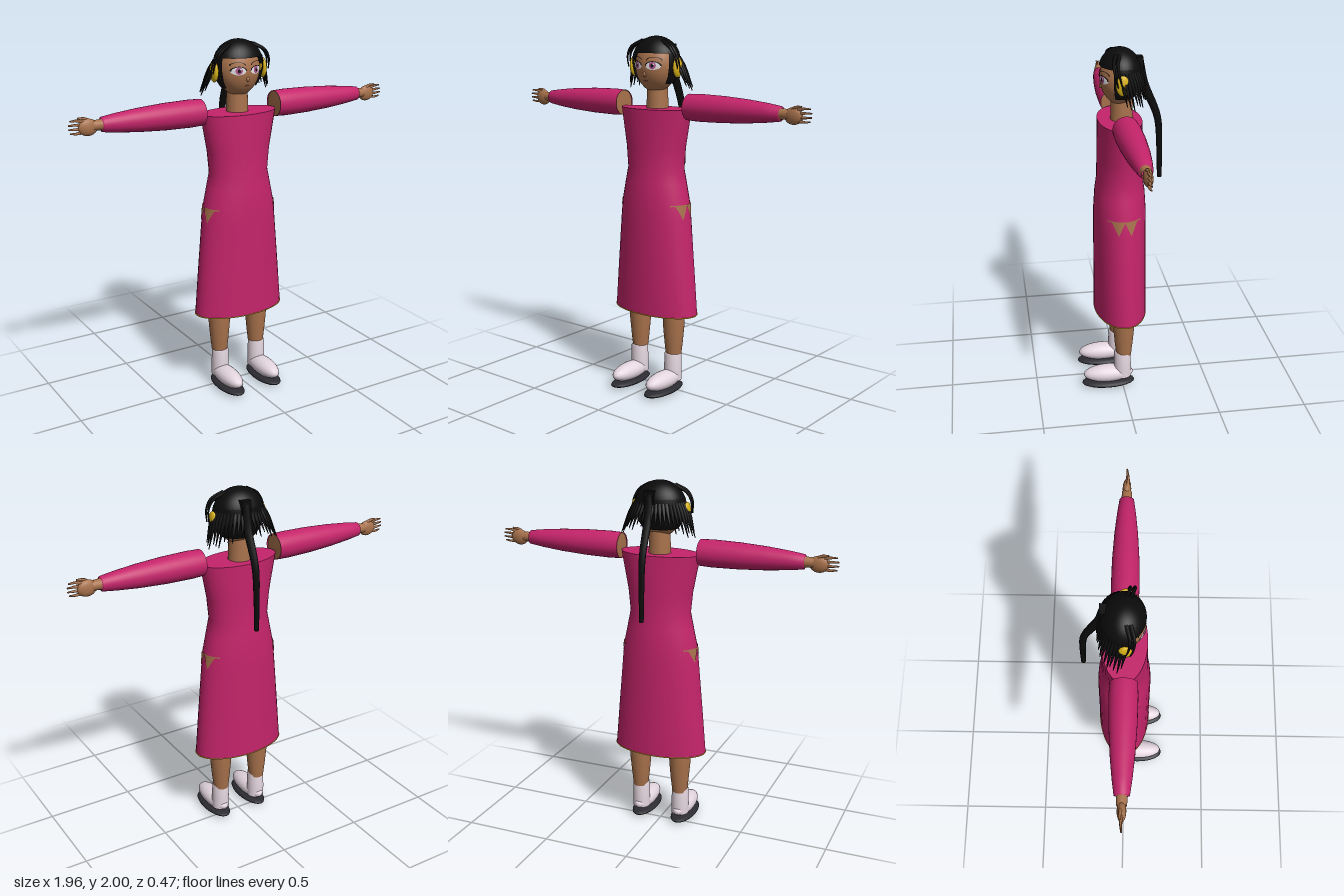
import * as THREE from 'three';
import { mergeVertices } from 'three/addons/utils/BufferGeometryUtils.js';

const material = (name, color, side = THREE.FrontSide) => {
  const m = new THREE.MeshStandardMaterial({ color, side });
  m.name = name;
  return m;
};
const V = (x, y, z) => new THREE.Vector3(x, y, z);

// Dress outline: height, half width, half depth
const DRESS = [
  [0.46, 0.272, 0.148], [0.7, 0.251, 0.147], [1.0, 0.223, 0.146], [1.09, 0.213, 0.145],
  [1.2, 0.189, 0.138], [1.28, 0.173, 0.127], [1.4, 0.186, 0.124], [1.61, 0.228, 0.12],
];
function dressSize(y) {
  let i = 0;
  while (i < DRESS.length - 2 && y > DRESS[i + 1][0]) i++;
  const [a, b] = [DRESS[i], DRESS[i + 1]];
  const t = (y - a[0]) / (b[0] - a[0]);
  return [a[1] + (b[1] - a[1]) * t, a[2] + (b[2] - a[2]) * t];
}

// Face outline: radius at a height, and the front surface at a point
const FACE_DEPTH = 0.88;
function faceRadius(y) {
  const t = (y - 1.84) / (y > 1.84 ? 0.14 : 0.15);
  return 0.12 * Math.pow(Math.max(0, 1 - t * t), y > 1.84 ? 0.5 : 0.6);
}
const faceZ = (x, y) => FACE_DEPTH * Math.sqrt(Math.max(0, faceRadius(y) ** 2 - x * x));

const lathe = (pts, segs = 28, start = 0, len = Math.PI * 2) =>
  new THREE.LatheGeometry(pts.map(([r, y]) => new THREE.Vector2(r, y)), segs, start, len);

// Move every vertex by a rule and rebuild smooth normals
function reshape(geo, rule) {
  const p = geo.attributes.position;
  for (let i = 0; i < p.count; i++) p.setXYZ(i, ...rule(p.getX(i), p.getY(i), p.getZ(i)));
  geo.deleteAttribute('uv');
  geo.deleteAttribute('normal');
  const merged = mergeVertices(geo, 1e-6);
  merged.computeVertexNormals();
  return merged;
}

// Tube along a curve that thins from r0 to r1
function strandGeometry(points, r0, r1, segs = 8, sides = 6) {
  const curve = new THREE.CatmullRomCurve3(points);
  const geo = new THREE.TubeGeometry(curve, segs, r0, sides);
  const p = geo.attributes.position, v = new THREE.Vector3();
  for (let i = 0; i < p.count; i++) {
    const t = Math.floor(i / (sides + 1)) / segs;
    const c = curve.getPointAt(t);
    v.fromBufferAttribute(p, i).sub(c).multiplyScalar(1 + (r1 / r0 - 1) * t).add(c);
    p.setXYZ(i, v.x, v.y, v.z);
  }
  return geo;
}

export function createModel() {
  const model = new THREE.Group();
  model.name = 'girl';
  const cloth = material('magenta cloth', 0xc4246a, THREE.DoubleSide);
  const skin = material('skin', 0xa8724c, THREE.DoubleSide);
  const hair = material('black hair', 0x0b0b0c, THREE.DoubleSide);
  const gold = material('gold', 0xd9b219);
  const shoeWhite = material('shoe white', 0xe4d5de);
  const soleDark = material('sole', 0x2b2b31);
  const eyeWhite = material('eye white', 0xf4f0f4);
  const irisPink = material('iris', 0xb0588f);
  const lips = material('lips', 0x6b3a30);

  const add = (parent, name, geo, mat, x = 0, y = 0, z = 0) => {
    const m = new THREE.Mesh(geo, mat);
    m.name = name;
    m.position.set(x, y, z);
    parent.add(m);
    return m;
  };
  const ball = (parent, name, mat, x, y, z, rx, ry, rz) => {
    const m = add(parent, name, new THREE.SphereGeometry(1, 24, 16), mat, x, y, z);
    m.scale.set(rx, ry, rz);
    return m;
  };

  // Dress, shoulder top and hem trim
  add(model, 'dress', reshape(lathe(DRESS.map(r => [1, r[0]]), 36), (x, y, z) => {
    const [w, d] = dressSize(y);
    return [x * w, y, z * d];
  }), cloth);
  const top = add(model, 'dressTop', new THREE.CircleGeometry(1, 36), cloth, 0, 1.61, 0);
  top.rotation.x = -Math.PI / 2;
  top.scale.set(0.228, 0.12, 1);
  const hem = add(model, 'hemTrim', new THREE.TorusGeometry(1, 0.012, 6, 48), gold, 0, 0.461, 0);
  hem.rotation.x = Math.PI / 2;
  hem.scale.set(0.272, 0.148, 0.25);

  // Hip cutouts: a thin band with two points below it
  for (const s of [-1, 1]) {
    add(model, 'hipCutout', reshape(new THREE.PlaneGeometry(0.18, 1, 36, 2), (z, v) => {
      const low = 1.086 - Math.max(0, 0.076 * (1 - Math.abs(Math.abs(z) - 0.035) / 0.034));
      const y = low + (1.093 - low) * (v + 0.5);
      const [w, d] = dressSize(y);
      return [s * (w * Math.sqrt(1 - (z / d) ** 2) + 0.004), y, z];
    }), skin);
  }

  // Legs, socks and shoes
  for (const s of [-1, 1]) {
    const leg = new THREE.Group();
    leg.name = s > 0 ? 'leftLeg' : 'rightLeg';
    leg.position.x = s * 0.123;
    model.add(leg);
    add(leg, 'leg', lathe([[0.043, 0.2], [0.052, 0.28], [0.061, 0.38], [0.064, 0.46], [0.07, 0.8]]), skin, 0, 0, -0.007);
    add(leg, 'sock', lathe([[0.05, 0.06], [0.05, 0.12], [0.048, 0.215], [0.04, 0.22], [0, 0.22]]), shoeWhite, 0, 0, 0);
    ball(leg, 'shoe', shoeWhite, 0, 0.079, 0.084, 0.059, 0.051, 0.146);
    ball(leg, 'sole', soleDark, 0, 0.023, 0.084, 0.069, 0.023, 0.155);
  }

  // Arms, built toward +x and turned round for the other side
  for (const s of [-1, 1]) {
    const arm = new THREE.Group();
    arm.name = s > 0 ? 'leftArm' : 'rightArm';
    arm.position.y = 1.627;
    if (s < 0) arm.rotation.y = Math.PI;
    model.add(arm);
    const alongX = (name, pts, mat) => { add(arm, name, lathe(pts), mat).rotation.z = -Math.PI / 2; };
    alongX('sleeve', [[0.071, 0.23], [0.074, 0.3], [0.071, 0.45], [0.062, 0.6], [0.05, 0.72], [0.039, 0.8], [0.026, 0.803]], cloth);
    alongX('shoulder', [[0, 0.234], [0.069, 0.236]], skin);
    alongX('wrist', [[0.029, 0.79], [0.026, 0.85]], skin);
    ball(arm, 'palm', skin, 0.875, -0.006, 0, 0.053, 0.044, 0.023);
    for (let i = 0; i < 4; i++) {
      const k = i - 1.5;
      add(arm, 'finger', strandGeometry([
        V(0.89, k * 0.016 - 0.002, 0), V(0.935, k * 0.022, 0.003),
        V(0.982 - Math.abs(k) * 0.008, k * 0.021 + 0.002, 0)], 0.011, 0.004), skin);
    }
    add(arm, 'thumb', strandGeometry([V(0.85, 0.012, 0), V(0.885, 0.037, 0.006), V(0.925, 0.043, 0.008)], 0.013, 0.005), skin);
  }

  // Neck and head
  add(model, 'neck', new THREE.CylinderGeometry(0.056, 0.062, 0.17, 24), skin, 0, 1.675, -0.012);
  const facePts = Array.from({ length: 25 }, (_, i) => {
    const y = 1.835 - 0.145 * Math.cos(i / 24 * Math.PI);
    return [faceRadius(y), y];
  });
  add(model, 'head', lathe(facePts, 32), skin).scale.z = FACE_DEPTH;
  ball(model, 'nose', skin, 0, 1.797, faceZ(0, 1.797), 0.009, 0.014, 0.008);

  // Painted face details, bent to follow the face
  const decal = (name, mat, cx, cy, rx, ry, lift, arc = Math.PI * 2, inner = 0) => {
    add(model, name, reshape(new THREE.RingGeometry(inner, 1, 24, 3, 0, arc), (x, y) => {
      const [px, py] = [cx + x * rx, cy + y * ry];
      return [px, py, faceZ(px, py) + lift];
    }), mat);
  };
  for (const s of [-1, 1]) {
    decal('eyeWhite', eyeWhite, s * 0.053, 1.843, 0.039, 0.021, 0.0025);
    decal('iris', irisPink, s * 0.052, 1.845, 0.018, 0.02, 0.004);
    decal('pupil', hair, s * 0.052, 1.845, 0.008, 0.01, 0.0055);
    decal('eyeGlint', eyeWhite, s * 0.052 + 0.007, 1.852, 0.004, 0.005, 0.0065);
    decal('upperLash', hair, s * 0.053, 1.843, 0.042, 0.025, 0.005, Math.PI, 0.84);
    decal('eyebrow', hair, s * 0.055, 1.872, 0.04, 0.018, 0.004, Math.PI, 0.86);
    decal('nostril', lips, s * 0.006, 1.787, 0.003, 0.002, 0.007);
  }
  decal('mouth', lips, 0, 1.762, 0.016, 0.005, 0.003);

  // Hair cap over the forehead line and shell round the sides and back
  const cap = add(model, 'hairCap', new THREE.SphereGeometry(1, 32, 12, 0, Math.PI * 2, 0, 1.23), hair, 0, 1.865, -0.003);
  cap.scale.set(0.142, 0.135, 0.117);
  add(model, 'hairShell', lathe([[0.1, 1.745], [0.126, 1.785], [0.139, 1.84], [0.141, 1.88], [0.134, 1.912]],
    28, Math.PI / 2 - 0.42, Math.PI + 0.84), hair).scale.z = 0.84;

  // Flared lock tips round the back, longest at the sides
  for (let i = 0; i <= 24; i++) {
    const a = -0.12 + (i / 24) * (Math.PI + 0.24);
    const c = Math.cos(a), z = -Math.sin(a), side = Math.abs(c) ** 2;
    const drop = 1.785 - 0.05 * side - (i % 3) * 0.013;
    add(model, 'hairLock', strandGeometry([
      V(c * 0.13, 1.885, z * 0.105), V(c * 0.163, 1.835, z * 0.125 - 0.01 * side),
      V(c * (0.2 + 0.006 * (i % 3)), drop, z * 0.138 - 0.03 * side)], 0.014, 0.002), hair);
  }

  for (const s of [-1, 1]) {
    // Arching side locks and gold ear ornaments
    for (const d of [0, 0.022]) {
      add(model, 'archingLock', strandGeometry([
        V(s * 0.07, 1.975, 0.03 - d), V(s * 0.135, 1.94, 0.05 - d),
        V(s * 0.166, 1.89, 0.045 - d), V(s * 0.172, 1.83, 0.03 - d)], 0.011, 0.003, 12), hair);
    }
    ball(model, 'earOrnament', gold, s * 0.151, 1.835, 0.004, 0.018, 0.055, 0.036);
  }

  // Ponytail with its tie and blunt tip
  add(model, 'ponytailTie', new THREE.BoxGeometry(0.055, 0.07, 0.045), hair, 0.02, 1.92, -0.098);
  add(model, 'ponytail', strandGeometry([
    V(0.02, 1.93, -0.1), V(0.02, 1.81, -0.127), V(0.02, 1.62, -0.203),
    V(0.02, 1.45, -0.217), V(0.02, 1.27, -0.22)], 0.026, 0.013, 20, 8), hair);
  ball(model, 'ponytailTip', hair, 0.02, 1.272, -0.22, 0.013, 0.006, 0.013);

  return model;
}
